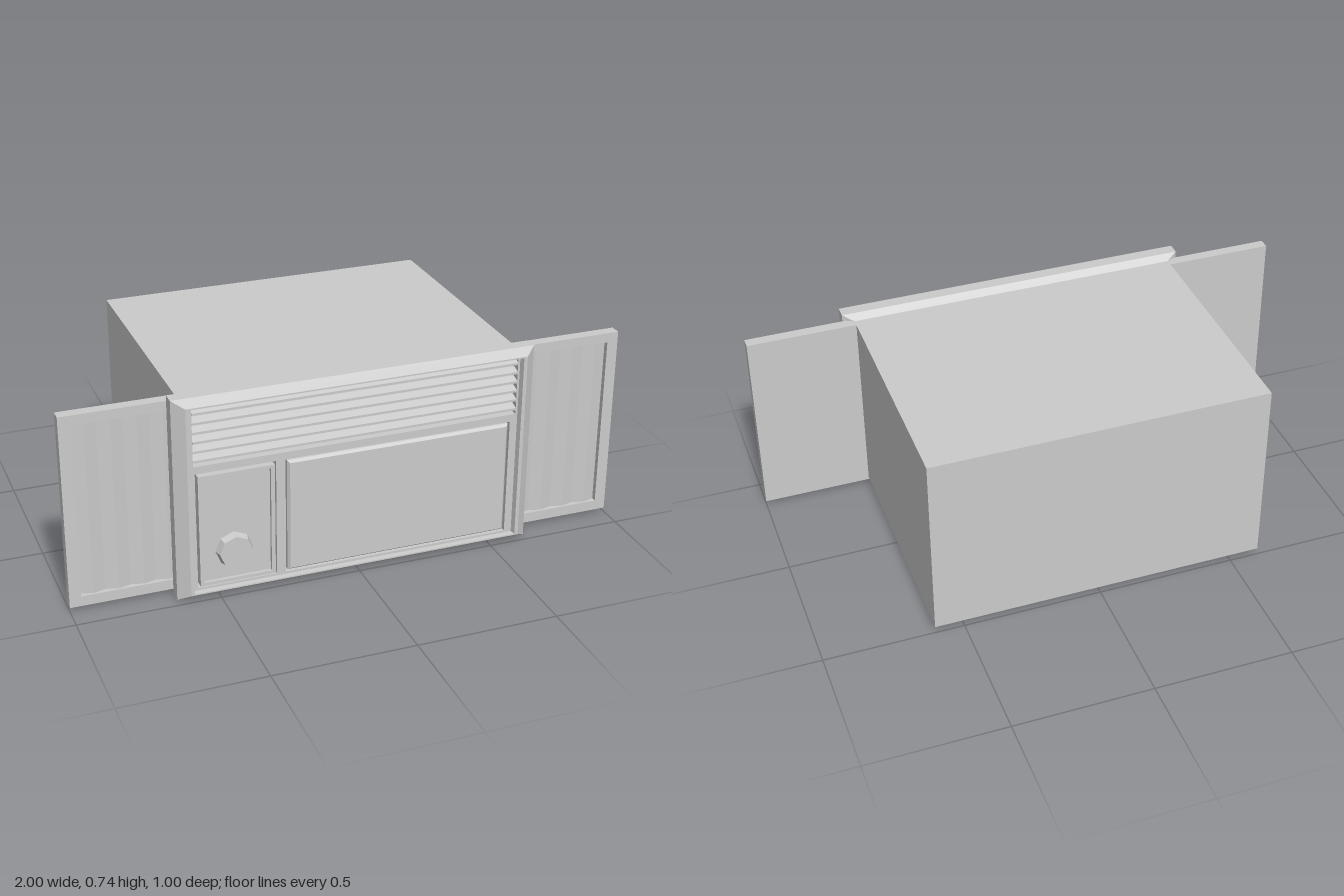
import * as THREE from 'three';

const material = new THREE.MeshStandardMaterial({ color: 0xcccccc, flatShading: true });

export function createModel() {
  const model = new THREE.Group();
  model.name = 'windowAirConditioner';

  const add = (name, geometry, parent = model) => {
    const mesh = new THREE.Mesh(geometry, material);
    mesh.name = name;
    parent.add(mesh);
    return mesh;
  };
  // Box given by its limits on each axis
  const box = (name, x0, x1, y0, y1, z0, z1, parent) =>
    add(name, new THREE.BoxGeometry(x1 - x0, y1 - y0, z1 - z0)
      .translate((x0 + x1) / 2, (y0 + y1) / 2, (z0 + z1) / 2), parent);
  const rect = (Type, x0, x1, y0, y1) =>
    new Type([[x0, y0], [x1, y0], [x1, y1], [x0, y1]].map(p => new THREE.Vector2(...p)));
  // Flat plate with rectangular openings
  const plate = (name, outer, holes, z0, z1, parent) => {
    const shape = rect(THREE.Shape, ...outer);
    shape.holes = holes.map(h => rect(THREE.Path, ...h));
    return add(name, new THREE.ExtrudeGeometry(shape, { depth: z1 - z0, bevelEnabled: false })
      .translate(0, 0, z0), parent);
  };
  // Skin over successive rectangles [x0, x1, y0, y1, z], optionally closed at the last one
  const loft = (name, rings, cap = false) => {
    const pos = [];
    const corners = rings.map(([x0, x1, y0, y1, z]) => [[x0, y0, z], [x1, y0, z], [x1, y1, z], [x0, y1, z]]);
    const quad = (a, b, c, d) => pos.push(...a, ...b, ...c, ...a, ...c, ...d);
    for (let i = 0; i + 1 < corners.length; i++) {
      for (let k = 0; k < 4; k++) {
        const n = (k + 1) % 4;
        quad(corners[i][k], corners[i][n], corners[i + 1][n], corners[i + 1][k]);
      }
    }
    if (cap) quad(...corners[corners.length - 1]);
    const geometry = new THREE.BufferGeometry();
    geometry.setAttribute('position', new THREE.Float32BufferAttribute(pos, 3));
    geometry.computeVertexNormals();
    return add(name, geometry);
  };

  // Main cabinet
  box('cabinet', -0.605, 0.605, 0.025, 0.715, -0.5, 0.44);

  // Chamfered front surround, wrapping from the back edge into the opening
  loft('bezel', [
    [-0.605, 0.605, 0.025, 0.715, 0.4],
    [-0.645, 0.645, 0, 0.737, 0.42],
    [-0.645, 0.645, 0, 0.737, 0.465],
    [-0.605, 0.605, 0.025, 0.715, 0.5],
    [-0.592, 0.592, 0.03, 0.71, 0.5],
    [-0.585, 0.585, 0.032, 0.705, 0.47],
  ]);

  // Fascia with openings for the grille, the controls and the intake cover
  plate('fascia', [-0.59, 0.59, 0.03, 0.707], [
    [-0.58, 0.58, 0.495, 0.702],
    [-0.575, -0.295, 0.04, 0.468],
    [-0.262, 0.56, 0.04, 0.468],
  ], 0.435, 0.48);

  // Sloping louvres of the air outlet
  const grille = new THREE.Group();
  grille.name = 'grille';
  model.add(grille);
  const slat = new THREE.Shape([[0, -0.013], [0.012, -0.013], [0.042, -0.004], [0.042, 0.004], [0.012, 0.013], [0, 0.013]]
    .map(p => new THREE.Vector2(...p)));
  for (let i = 0; i < 6; i++) {
    const geometry = new THREE.ExtrudeGeometry(slat, { depth: 1.16, bevelEnabled: false })
      .rotateY(-Math.PI / 2).translate(0.58, 0.514 + i * 0.034, 0.44);
    add('louvre', geometry, grille);
  }

  // Control panel: raised rim, recessed plate and dial
  plate('controlRim', [-0.568, -0.302, 0.048, 0.46], [[-0.555, -0.316, 0.06, 0.448]], 0.44, 0.488);
  box('controlPlate', -0.56, -0.31, 0.055, 0.453, 0.44, 0.476);
  add('dial', new THREE.CylinderGeometry(0.058, 0.066, 0.03, 8)
    .rotateX(Math.PI / 2).translate(-0.445, 0.165, 0.489));

  // Intake cover with a bevelled edge
  loft('intakeCover', [
    [-0.256, 0.554, 0.046, 0.462, 0.44],
    [-0.256, 0.554, 0.046, 0.462, 0.476],
    [-0.248, 0.546, 0.054, 0.454, 0.486],
  ], true);

  // Side curtains: framed panels with vertical pleats
  for (const side of [-1, 1]) {
    const curtain = new THREE.Group();
    curtain.name = side > 0 ? 'leftCurtain' : 'rightCurtain';
    model.add(curtain);
    const span = (a, b) => side > 0 ? [a, b] : [-b, -a];
    box('curtainBack', ...span(0.6, 1), 0.015, 0.715, 0.375, 0.394, curtain);
    plate('curtainFrame', [...span(0.6, 1), 0.015, 0.715],
      [[...span(0.615, 0.96), 0.052, 0.68]], 0.394, 0.415, curtain);
    const [x0, x1] = span(0.61, 0.96);
    const pleats = new THREE.Shape();
    pleats.moveTo(x0, -0.39);
    for (let i = 0; i <= 8; i++) {
      pleats.lineTo(x0 + (x1 - x0) * i / 8, i % 2 ? -0.408 : -0.396);
    }
    pleats.lineTo(x1, -0.39);
    add('pleats', new THREE.ExtrudeGeometry(pleats, { depth: 0.628, bevelEnabled: false })
      .rotateX(-Math.PI / 2).translate(0, 0.052, 0), curtain);
  }
  return model;
}
